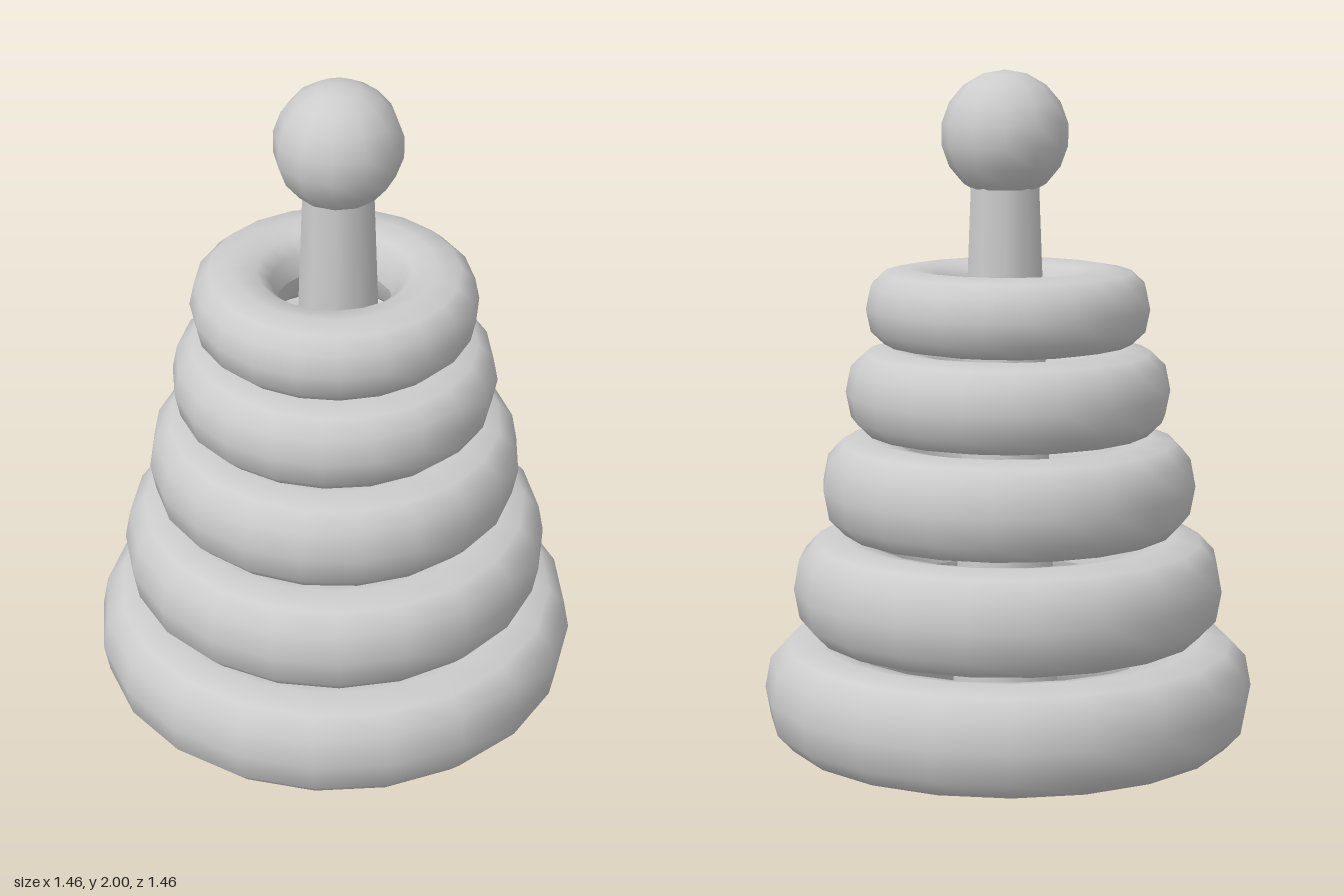
import * as THREE from 'three';

export function createModel() {
  const model = new THREE.Group();
  const grey = new THREE.MeshStandardMaterial({ color: 0xcccccc });
  grey.name = 'plain grey';

  const add = (name, geometry, x = 0, y = 0, z = 0) => {
    const mesh = new THREE.Mesh(geometry, grey);
    mesh.name = name;
    mesh.position.set(x, y, z);
    model.add(mesh);
    return mesh;
  };

  // Soft, slightly squared ring cross-section, turned around the peg
  const power = (v) => Math.sign(v) * Math.abs(v) ** 0.82;
  const ringGeometry = (bottom, top, radius, halfWidth) => {
    const points = [];
    const steps = 12;
    for (let i = 0; i <= steps; i++) {
      const a = -Math.PI + (i / steps) * Math.PI * 2;
      points.push(new THREE.Vector2(
        radius - halfWidth + halfWidth * power(Math.cos(a)),
        (bottom + top) / 2 + ((top - bottom) / 2) * power(Math.sin(a))
      ));
    }
    return new THREE.LatheGeometry(points, 20);
  };

  // Five stacked rings: bottom, top, outer radius, half width
  const rings = [
    [0, 0.32, 0.73, 0.15],
    [0.32, 0.63, 0.64, 0.145],
    [0.63, 0.925, 0.555, 0.14],
    [0.925, 1.19, 0.48, 0.135],
    [1.19, 1.425, 0.42, 0.125],
  ];
  rings.forEach((r, i) => {
    add(`ring${i + 1}`, ringGeometry(...r)).rotation.y = i * 0.11;
  });

  // Flat base closing the lowest ring
  add('base', new THREE.CylinderGeometry(0.6, 0.6, 0.02, 20), 0, 0.01, 0);

  // Tapered peg through the stack
  add('peg', new THREE.CylinderGeometry(0.103, 0.17, 1.7, 10), 0.01, 0.85, -0.005);

  // Ball on top of the peg
  add('ball', new THREE.SphereGeometry(0.187, 12, 9), 0.01, 1.813, -0.01);

  return model;
}
